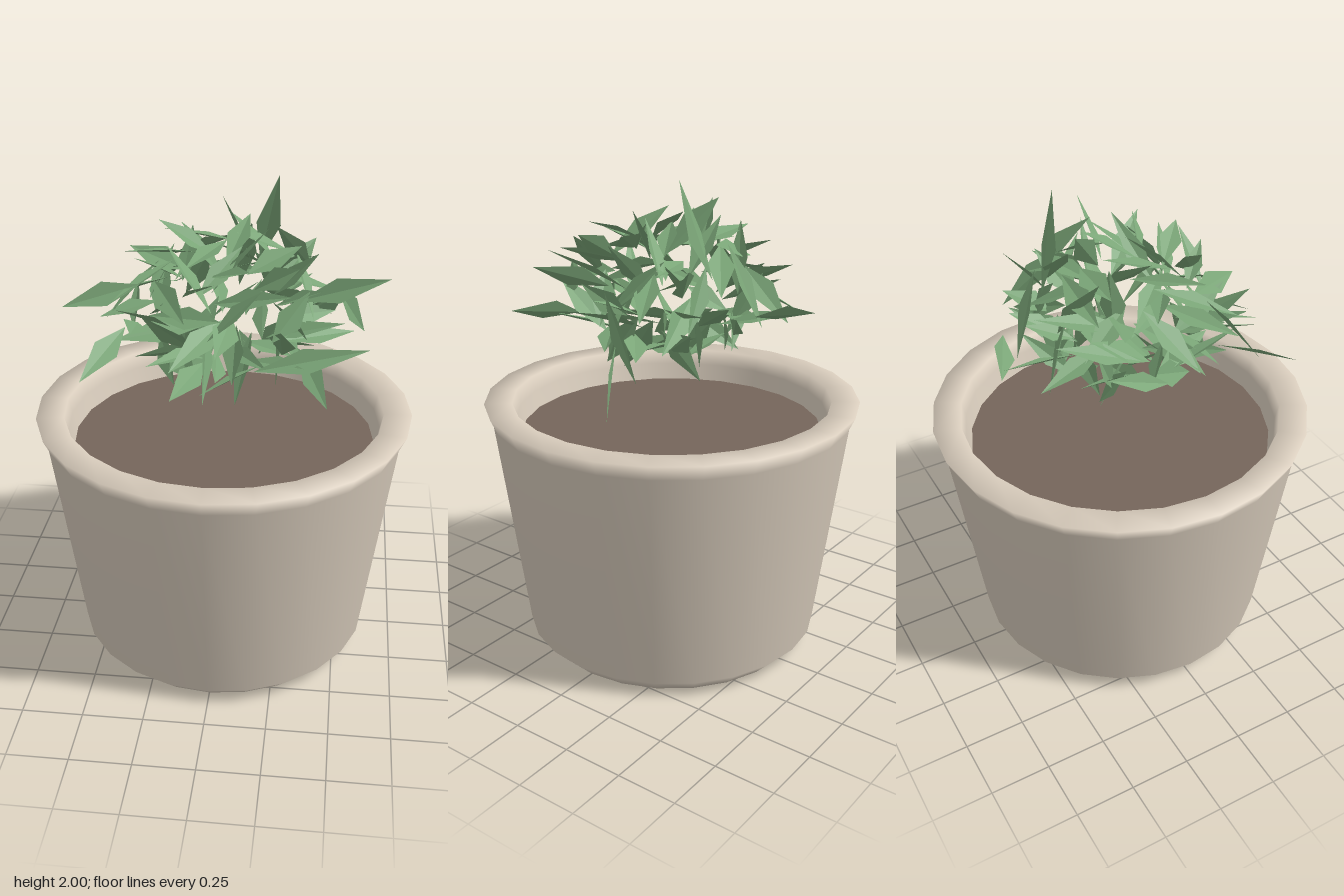
import * as THREE from 'three';

// Small seeded generator, returns values in [-1, 1]
function makeRandom(seed) {
  let s = seed;
  return () => {
    s = (s * 16807) % 2147483647;
    return (s / 2147483647) * 2 - 1;
  };
}

const v = (x, y, z) => new THREE.Vector3(x, y, z);

// Kite-shaped leaf from base to tip, folded slightly along its midrib
function addLeaf(out, base, tip, facing, width) {
  const along = tip.clone().sub(base);
  const dir = along.clone().normalize();
  const side = dir.clone().cross(facing).normalize();
  const normal = side.clone().cross(dir).normalize();
  const belly = base.clone().addScaledVector(along, 0.45);
  const left = belly.clone().addScaledVector(side, width / 2).addScaledVector(normal, 0.012);
  const right = belly.clone().addScaledVector(side, -width / 2).addScaledVector(normal, 0.012);
  for (const p of [base, left, tip, base, tip, right]) out.push(p.x, p.y, p.z);
}

export function createModel() {
  const model = new THREE.Group();

  // Tapered pot with chamfered foot, flared rim and inner wall
  const profile = [
    [0, 0], [0.56, 0], [0.625, 0.065], [0.75, 1.0], [0.78, 1.065],
    [0.665, 1.065], [0.65, 1.0], [0.625, 0.9],
  ].map(([r, y]) => new THREE.Vector2(r, y));
  const pot = new THREE.Mesh(
    new THREE.LatheGeometry(profile, 24),
    new THREE.MeshStandardMaterial({ color: 0xd8ccbc, side: THREE.DoubleSide })
  );
  pot.name = 'pot';
  model.add(pot);

  // Soil disc just below the rim
  const soil = new THREE.Mesh(
    new THREE.CircleGeometry(0.63, 24).rotateX(-Math.PI / 2),
    new THREE.MeshStandardMaterial({ color: 0x75655a })
  );
  soil.name = 'soil';
  soil.position.y = 0.93;
  model.add(soil);

  // Foliage: leaves spread over a dome-like shell, pointing outwards
  const rnd = makeRandom(4217);
  const leaves = [];
  const count = 96;
  for (let i = 0; i < count; i++) {
    const up = 1 - (2 * (i + 0.5)) / count;
    const ring = Math.sqrt(1 - up * up);
    const a = i * 2.39996 + rnd() * 0.3;
    const radial = v(ring * Math.cos(a), up, ring * Math.sin(a));
    const depth = 0.85 + rnd() * 0.15;
    const mid = v(radial.x * 0.43, radial.y * 0.29, radial.z * 0.41)
      .multiplyScalar(depth).add(v(0, 1.53, 0));
    const dir = v(radial.x * 0.6 + rnd() * 0.75, radial.y * 0.4 + rnd() * 0.75, radial.z * 0.6 + rnd() * 0.75).normalize();
    const length = 0.29 + rnd() * 0.08;
    const base = mid.clone().addScaledVector(dir, -length / 2);
    const tip = mid.clone().addScaledVector(dir, length / 2);
    for (const p of [base, tip]) {
      p.clamp(v(-0.6, 1.15, -0.56), v(0.64, 1.95, 0.55));
    }
    const facing = v(rnd() * 0.7, 0.7, rnd() * 0.7).addScaledVector(radial, 0.3);
    addLeaf(leaves, base, tip, facing, 0.095 + rnd() * 0.02);
  }

  // Longest leaves that set the outline of the plant
  const outer = [
    [[0.12, 1.62, -0.28], [0.2, 2.0, -0.18]],
    [[0.3, 1.37, 0.05], [0.43, 1.07, 0.0]],
    [[0.3, 1.58, 0.08], [0.65, 1.71, 0.15]],
    [[-0.3, 1.67, 0.2], [-0.6, 1.58, 0.24]],
    [[0.15, 1.4, 0.36], [0.58, 1.5, 0.34]],
    [[-0.36, 1.5, 0.22], [-0.48, 1.4, 0.52]],
    [[-0.05, 1.38, 0.25], [-0.14, 1.36, 0.56]],
    [[0.1, 1.5, -0.46], [-0.15, 1.48, -0.58]],
    [[0.45, 1.6, -0.02], [0.57, 1.32, -0.26]],
  ];
  for (const [b, t] of outer) addLeaf(leaves, v(...b), v(...t), v(0.2, 0.6, 0.7), 0.1);

  const leafGeometry = new THREE.BufferGeometry();
  leafGeometry.setAttribute('position', new THREE.Float32BufferAttribute(leaves, 3));
  leafGeometry.computeVertexNormals();
  const foliage = new THREE.Mesh(
    leafGeometry,
    new THREE.MeshStandardMaterial({ color: 0x7aa577, side: THREE.DoubleSide, flatShading: true })
  );
  foliage.name = 'leaves';
  model.add(foliage);

  return model;
}
